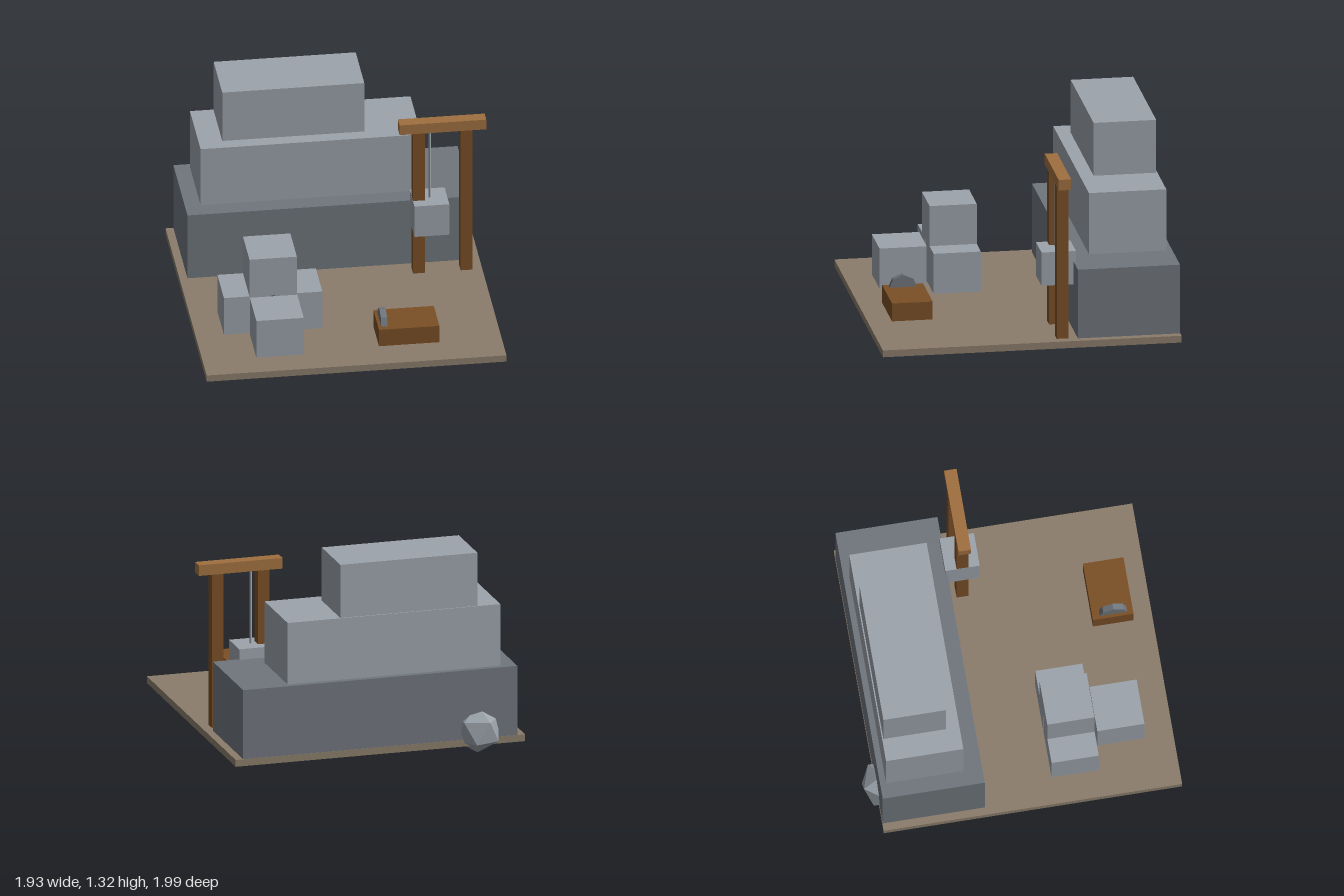
import * as THREE from 'three';

export function createModel() {
  const model = new THREE.Group();
  model.name = 'stoneQuarry';

  const mat = (name, color) => {
    const m = new THREE.MeshStandardMaterial({ color, flatShading: true });
    m.name = name;
    return m;
  };
  const lightStone = mat('lightStone', 0x9ca3ab);
  const darkStone = mat('darkStone', 0x70767d);
  const darkWood = mat('darkWood', 0x7a4f26);
  const paleWood = mat('paleWood', 0xa07040);
  const earth = mat('earth', 0x8b7d6b);

  const add = (name, geometry, material, x, y, z, parent = model) => {
    const mesh = new THREE.Mesh(geometry, material);
    mesh.name = name;
    mesh.position.set(x, y, z);
    parent.add(mesh);
    return mesh;
  };
  // Box given by its limits along each axis
  const box = (name, material, [x0, x1], [y0, y1], [z0, z1], parent) =>
    add(name, new THREE.BoxGeometry(x1 - x0, y1 - y0, z1 - z0), material,
      (x0 + x1) / 2, (y0 + y1) / 2, (z0 + z1) / 2, parent);
  const group = (name) => {
    const g = new THREE.Group();
    g.name = name;
    model.add(g);
    return g;
  };

  // Ground slab
  box('ground', earth, [-0.97, 0.94], [0.065, 0.11], [-0.91, 1]);

  // Stepped rock face
  const cliff = group('cliff');
  box('lowerTier', darkStone, [-0.92, 0.89], [0.11, 0.565], [-0.908, -0.255], cliff);
  box('middleTier', lightStone, [-0.82, 0.585], [0.565, 0.97], [-0.87, -0.375], cliff);
  box('upperTier', lightStone, [-0.67, 0.235], [0.97, 1.32], [-0.862, -0.462], cliff);

  // Stack of cut blocks
  const blocks = group('cutBlocks');
  [
    [-0.64, 0.243, 0.345],
    [-0.315, 0.243, 0.345],
    [-0.477, 0.243, 0.665],
    [-0.477, 0.508, 0.345],
  ].forEach(([x, y, z]) =>
    add('cutBlock', new THREE.BoxGeometry(0.302, 0.265, 0.302), lightStone, x, y, z, blocks));

  // Hoist: two posts, a beam, a rope and the hanging block
  const hoist = group('hoist');
  for (const x of [0.537, 0.84])
    box('hoistPost', darkWood, [x - 0.038, x + 0.038], [0.11, 1.12], [-0.198, -0.122], hoist);
  box('hoistBeam', paleWood, [0.413, 0.965], [1.12, 1.19], [-0.2, -0.12], hoist);
  add('hoistRope', new THREE.CylinderGeometry(0.008, 0.008, 0.49, 6), lightStone, 0.61, 0.877, -0.16, hoist);
  box('hangingBlock', lightStone, [0.498, 0.72], [0.415, 0.635], [-0.27, -0.05], hoist);

  // Workbench with a saw disc set into it
  const bench = group('sawBench');
  box('benchTop', darkWood, [0.145, 0.53], [0.167, 0.285], [0.615, 0.875], bench);
  add('sawDisc', new THREE.CylinderGeometry(0.092, 0.092, 0.04, 8), darkStone, 0.185, 0.273, 0.75, bench)
    .rotation.z = Math.PI / 2;

  // Loose boulders, each standing on one corner
  const boulder = (x, y, z, r, squash) => {
    const g = new THREE.IcosahedronGeometry(r, 0);
    g.rotateX(-Math.atan((1 + Math.sqrt(5)) / 2));
    g.rotateY(THREE.MathUtils.degToRad(54));
    g.scale(1, squash, 1);
    add('boulder', g, lightStone, x, y, z);
  };
  boulder(-0.672, 0.16, -0.86, 0.157, 1);
  boulder(0.537, 0.175, -0.462, 0.2, 0.8);

  return model;
}
